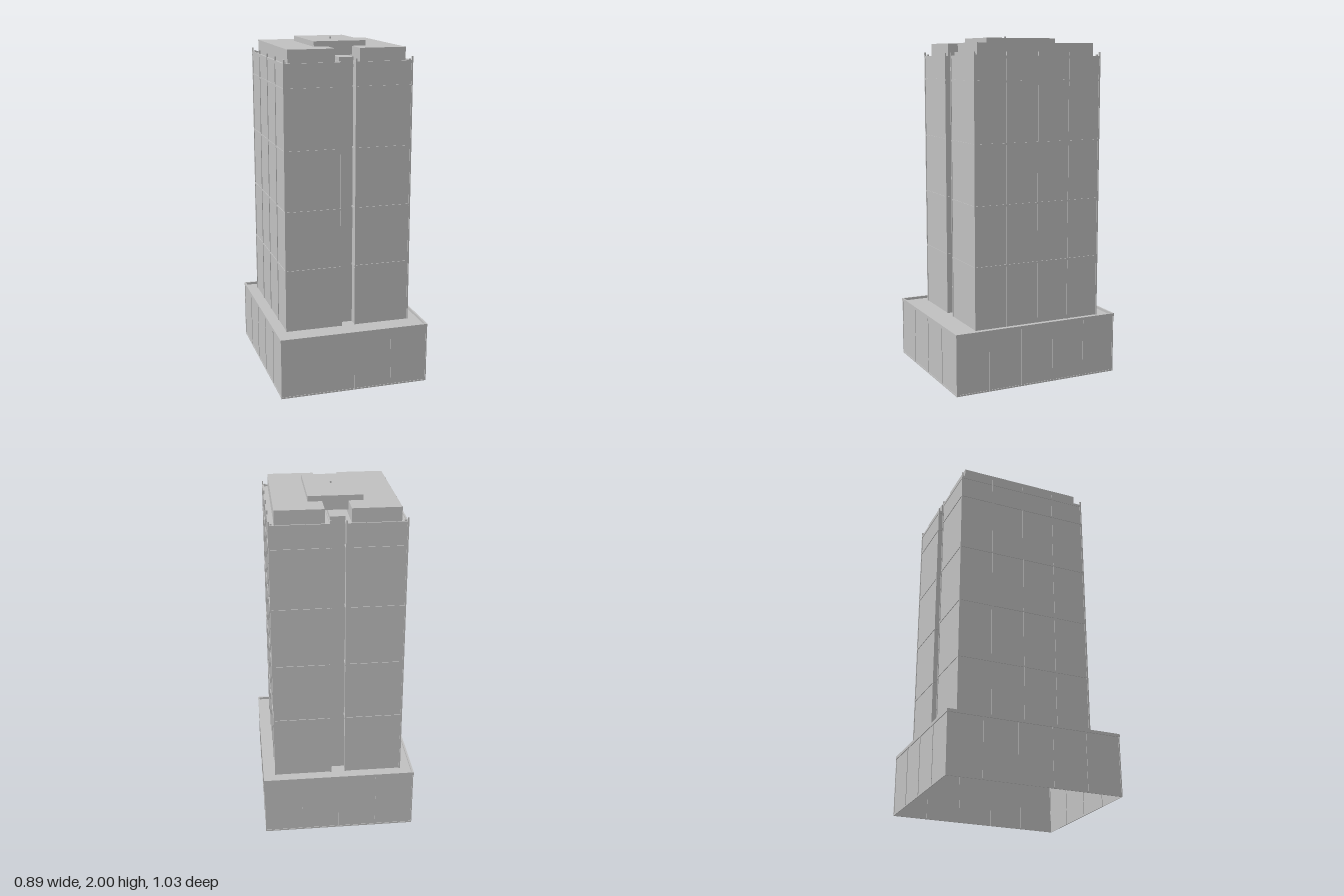
import * as THREE from 'three';

const stone = new THREE.MeshStandardMaterial({ color: 0xc0c0c0, side: THREE.DoubleSide });
stone.name = 'pale grey concrete';

// Box given by its limits on each axis; openBottom leaves out the underside
function box(parent, name, [x0, x1], [y0, y1], [z0, z1], openBottom = false) {
  const geo = new THREE.BoxGeometry(x1 - x0, y1 - y0, z1 - z0);
  if (openBottom) {
    const idx = Array.from(geo.index.array);
    idx.splice(18, 6);
    geo.setIndex(idx);
    geo.clearGroups();
  }
  const mesh = new THREE.Mesh(geo, stone);
  mesh.name = name;
  mesh.position.set((x0 + x1) / 2, (y0 + y1) / 2, (z0 + z1) / 2);
  parent.add(mesh);
  return mesh;
}

// Rectangular ring of four bars, t wide, lying inside the given limits
function ring(parent, name, [x0, x1], y, [z0, z1], t) {
  box(parent, name, [x0, x1], y, [z0, z0 + t]);
  box(parent, name, [x0, x1], y, [z1 - t, z1]);
  box(parent, name, [x0, x0 + t], y, [z0 + t, z1 - t]);
  box(parent, name, [x1 - t, x1], y, [z0 + t, z1 - t]);
}

// Square upright bar centred on x, z
function post(parent, name, x, z, y, w) {
  box(parent, name, [x - w / 2, x + w / 2], y, [z - w / 2, z + w / 2]);
}

const lerp = THREE.MathUtils.lerp;
const DECK = 0.345, ROOF = 1.88;

function makePodium() {
  const g = new THREE.Group();
  g.name = 'podium';
  const X = [-0.439, 0.439], Z = [-0.522, 0.496];
  box(g, 'podiumShell', X, [0, DECK], Z, true);
  ring(g, 'podiumParapet', [-0.444, 0.444], [DECK - 0.002, 0.36], [-0.527, 0.501], 0.01);
  ring(g, 'podiumBaseTrim', [-0.442, 0.442], [0, 0.008], [-0.525, 0.499], 0.004);
  // Mullions: four bays on front and back, five on the sides
  for (let i = 0; i <= 4; i++)
    for (const z of Z) post(g, 'podiumMullion', lerp(X[0], X[1], i / 4), z, [0, DECK], 0.006);
  for (let i = 1; i < 5; i++)
    for (const x of X) post(g, 'podiumMullion', x, lerp(Z[0], Z[1], i / 5), [0, DECK], 0.006);
  return g;
}

function makeTower(side) {
  const g = new THREE.Group();
  g.name = side > 0 ? 'leftTower' : 'rightTower';
  const span = (a, b) => (side > 0 ? [a, b] : [-b, -a]);
  const Z = [-0.443, 0.35];
  box(g, 'towerBody', span(0.042, 0.371), [DECK, ROOF], Z, true);
  ring(g, 'roofRim', span(0.039, 0.374), [ROOF - 0.008, ROOF + 0.008], [-0.446, 0.353], 0.008);
  // Floor bands
  for (let i = 1; i <= 4; i++) {
    const y = 0.36 + i * 0.347;
    ring(g, 'floorBand', span(0.038, 0.375), [y - 0.005, y + 0.005], [-0.447, 0.354], 0.006);
  }
  // Uprights on the outer wall and at the inner corners
  for (let i = 0; i <= 4; i++)
    post(g, 'outerFin', side * 0.371, lerp(Z[0], Z[1], i / 4), [DECK, 1.91], 0.008);
  for (const z of Z) post(g, 'innerCornerFin', side * 0.043, z, [DECK, 1.905], 0.008);
  // Roof slab and corner stubs
  box(g, 'roofSlab', span(0.072, 0.342), [ROOF, 1.96], [-0.416, 0.32]);
  for (const z of [-0.431, 0.337]) post(g, 'roofStub', side * 0.359, z, [ROOF, 1.895], 0.011);
  return g;
}

export function createModel() {
  const model = new THREE.Group();
  model.name = 'officeTower';
  model.add(makePodium(), makeTower(1), makeTower(-1));
  // Recessed core joining the towers, and the plant room above
  box(model, 'core', [-0.042, 0.042], [DECK, 1.91], [-0.388, 0.293], true);
  box(model, 'plantRoom', [-0.153, 0.151], [1.91, 1.99], [-0.27, 0.176]);
  post(model, 'roofBeacon', -0.001, -0.015, [1.99, 2.0], 0.01);
  return model;
}
